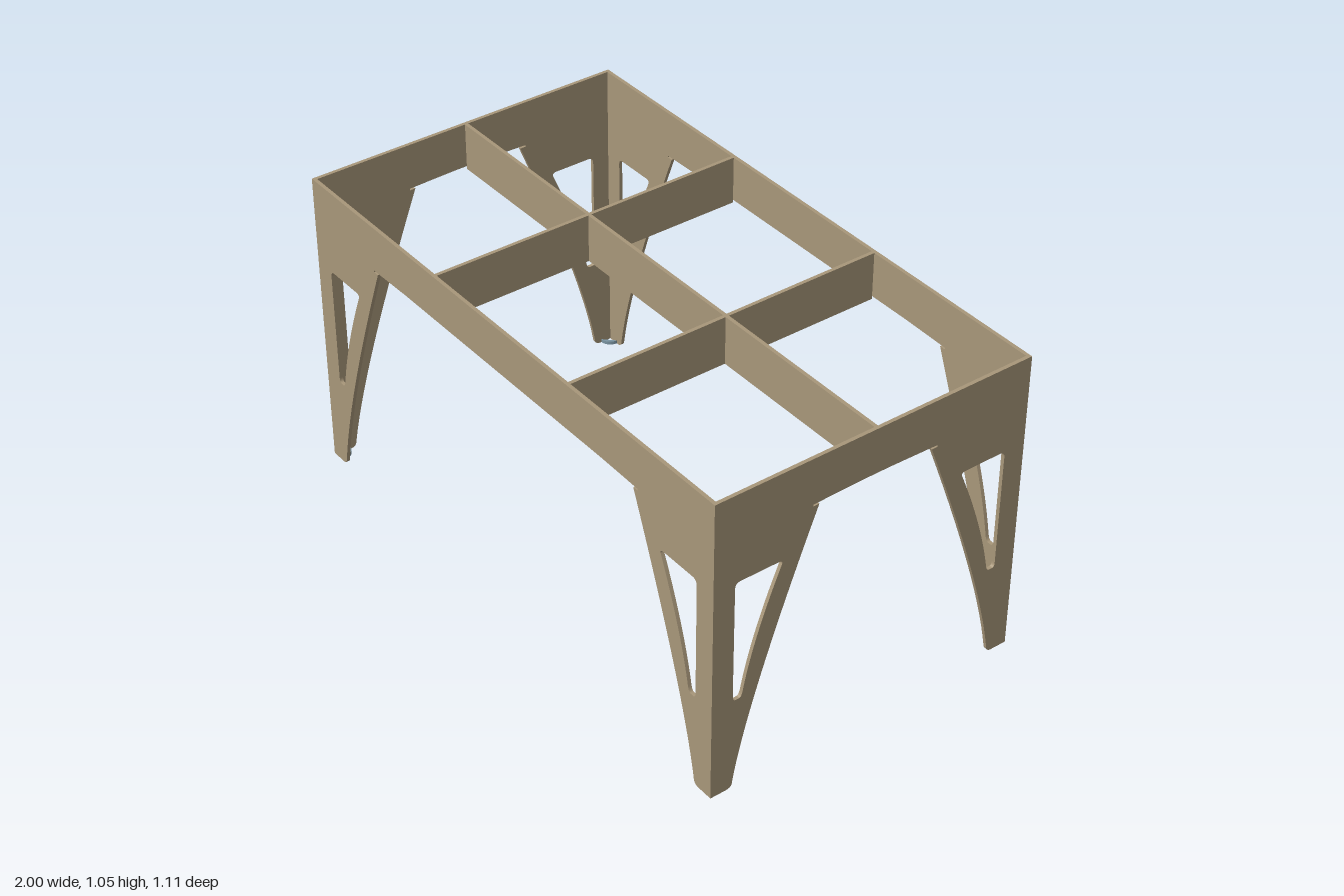
import * as THREE from 'three';

const TOP = 1.047, HALF_X = 1, HALF_Z = 0.557, T = 0.012;

// Wall outline: a rail with two tapered legs; half = overall half width, end = where the sheet stops
function wallGeometry(half, end) {
  const p = (d, y) => [half - d, y]; // d is measured inwards from the outer corner
  const side = new THREE.Path();
  side.moveTo(end, TOP);
  side.lineTo(end, 0);
  side.lineTo(...p(0.055, 0));
  side.quadraticCurveTo(...p(0.076, 0), ...p(0.077, 0.022));
  side.quadraticCurveTo(...p(0.124, 0.296), ...p(0.357, 0.885));
  side.lineTo(...p(0.337, 0.885)); // relief notch beside the rail
  side.lineTo(...p(0.337, 0.891));
  side.lineTo(...p(0.31 + 0.2, 0.895));

  // Slanted window in the leg with rounded corners
  const hole = new THREE.Path();
  hole.moveTo(...p(0.073, 0.728));
  hole.quadraticCurveTo(...p(0.073, 0.748), ...p(0.093, 0.748));
  hole.lineTo(...p(0.218, 0.748));
  hole.quadraticCurveTo(...p(0.24, 0.748), ...p(0.232, 0.732));
  hole.quadraticCurveTo(...p(0.139, 0.515), ...p(0.107, 0.345));
  hole.quadraticCurveTo(...p(0.103, 0.326), ...p(0.094, 0.326));
  hole.lineTo(...p(0.085, 0.326));
  hole.quadraticCurveTo(...p(0.073, 0.326), ...p(0.073, 0.342));

  const mirror = (pts) => pts.map((v) => new THREE.Vector2(-v.x, v.y)).reverse();
  const right = side.getPoints(14), window = hole.getPoints(10);
  const shape = new THREE.Shape([...right, ...mirror(right)]);
  shape.holes.push(new THREE.Path(window), new THREE.Path(mirror(window)));
  return new THREE.ExtrudeGeometry(shape, { depth: T, bevelEnabled: false }).translate(0, 0, -T / 2);
}

export function createModel() {
  const model = new THREE.Group();
  const wood = new THREE.MeshStandardMaterial({ color: 0xa8977a });
  wood.name = 'plywood';
  const pad = new THREE.MeshStandardMaterial({ color: 0x7b95a3 });
  pad.name = 'blueGrey';

  const add = (name, geometry, material, x, y, z) => {
    const mesh = new THREE.Mesh(geometry, material);
    mesh.name = name;
    mesh.position.set(x, y, z);
    model.add(mesh);
    return mesh;
  };

  // Long walls with legs, and end walls fitted between them
  const longWall = wallGeometry(HALF_X, HALF_X);
  const endWall = wallGeometry(HALF_Z, HALF_Z - T);
  for (const s of [1, -1]) {
    add(s > 0 ? 'frontWall' : 'backWall', longWall, wood, 0, 0, s * (HALF_Z - T / 2));
    add(s > 0 ? 'leftEndWall' : 'rightEndWall', endWall, wood, s * (HALF_X - T / 2), 0, 0)
      .rotation.y = Math.PI / 2;
  }

  // Inner grid of beams
  const beamH = TOP - 0.885, beamY = 0.885 + beamH / 2;
  add('lengthBeam', new THREE.BoxGeometry(2 * (HALF_X - T), beamH, T), wood, 0, beamY, 0);
  const half = HALF_Z - T - T / 2;
  const crossBeam = new THREE.BoxGeometry(T, beamH, half);
  for (const x of [-0.333, 0.333]) {
    for (const s of [1, -1]) add('crossBeam', crossBeam, wood, x, beamY, s * (T / 2 + half / 2));
  }

  // Quarter-round foot pads in the inner corners
  const padH = 0.012;
  for (const sx of [1, -1]) {
    for (const sz of [1, -1]) {
      const shape = new THREE.Shape();
      const a = Math.atan2(sz, -sx) - Math.PI / 4;
      shape.moveTo(0, 0);
      shape.absarc(0, 0, 0.038, a, a + Math.PI / 2, false);
      const geometry = new THREE.ExtrudeGeometry(shape, { depth: padH, bevelEnabled: false, curveSegments: 10 });
      geometry.rotateX(-Math.PI / 2); // shape y becomes -z
      add('footPad', geometry, pad, sx * (HALF_X - T), 0, sz * (HALF_Z - T));
    }
  }
  return model;
}
